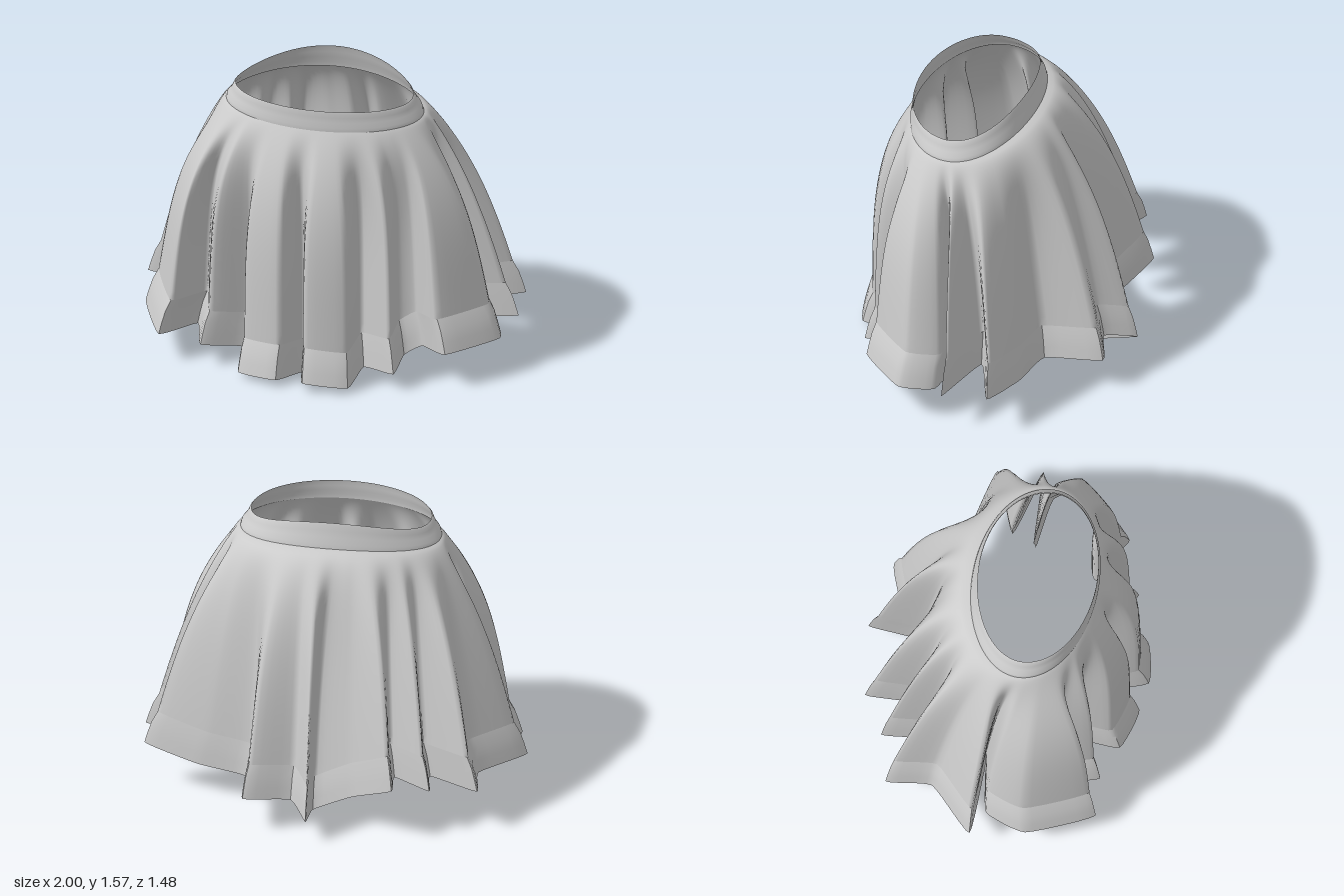
import * as THREE from 'three';
import { toCreasedNormals } from 'three/addons/utils/BufferGeometryUtils.js';

// Pleat corners along the hem [x, z, y], from centre front round by the left side
const HEM = [
  [-0.02, 0.51, 0.00], [0.05, 0.74, 0.05], [0.28, 0.69, 0.03], [0.30, 0.46, 0.05],
  [0.50, 0.60, 0.10], [0.50, 0.40, 0.12], [0.59, 0.37, 0.17], [0.75, 0.50, 0.20],
  [0.97, 0.25, 0.21], [0.90, 0.07, 0.19], [0.62, 0.03, 0.19], [1.00, 0.00, 0.23],
  [0.66, -0.10, 0.22], [0.97, -0.24, 0.25], [0.68, -0.32, 0.19], [0.42, -0.36, 0.16],
  [0.39, -0.67, 0.20], [0.15, -0.59, 0.17], [0.05, -0.74, 0.13], [0.05, -0.48, 0.06],
  [-0.16, -0.53, 0.18], [-0.39, -0.67, 0.31], [-0.37, -0.43, 0.26], [-0.57, -0.55, 0.26],
  [-0.54, -0.32, 0.22], [-0.81, -0.48, 0.24], [-0.78, -0.24, 0.22], [-1.00, 0.00, 0.22],
  [-0.63, 0.01, 0.20], [-0.86, 0.06, 0.19], [-0.93, 0.28, 0.19], [-0.76, 0.62, 0.17],
  [-0.62, 0.38, 0.14], [-0.54, 0.60, 0.13], [-0.34, 0.46, 0.08], [-0.32, 0.66, 0.03],
  [-0.10, 0.72, 0.04],
];
const PER = 6;
const N = HEM.length * PER;
const { lerp } = THREE.MathUtils;

// Dense hem line, plus a smoothed direction per column that ignores the folds
const curve = new THREE.CatmullRomCurve3(
  HEM.map(([x, z, y]) => new THREE.Vector3(x, y, z)), true, 'catmullrom', 0.22);
const hem = Array.from({ length: N }, (_, i) => curve.getPoint(i / N));
const around = hem.map((_, i) => {
  let x = 0, z = 0;
  for (let k = -10; k <= 10; k++) {
    const p = hem[(i + k + N) % N];
    const a = Math.atan2(p.x / 0.85, (p.z - 0.03) / 0.62);
    x += Math.sin(a);
    z += Math.cos(a);
  }
  const l = Math.hypot(x, z);
  return { s: x / l, c: z / l };
});

// Closed tube of rows running downwards; point(i, j) gives [x, y, z]
function tube(rows, point) {
  const pos = [], index = [];
  for (let j = 0; j <= rows; j++) {
    for (let i = 0; i < N; i++) {
      pos.push(...point(i, j));
      if (j === rows) continue;
      const a = j * N + i, b = j * N + (i + 1) % N;
      index.push(a, a + N, b, b, a + N, b + N);
    }
  }
  const g = new THREE.BufferGeometry();
  g.setAttribute('position', new THREE.Float32BufferAttribute(pos, 3));
  g.setIndex(index);
  g.computeVertexNormals();
  return g;
}

// Height of the waistband's lower and upper edges: both rise at the back
const lowerEdge = (c) => 1.38 + 0.06 * Math.max(0, -c) ** 2;
const upperEdge = (c) => 1.475 + 0.015 * Math.max(0, c) + 0.1 * Math.max(0, -c) ** 2.3;

const SEAM = 0.93; // hem outline scale where the flounce is sewn on
const seamY = (i) => hem[i].y + 0.18;

// Pleated body: an oval that widens downwards while folds form just below
// the waist and then hang; the front rounds out early and drops straight
function bodyPoint(i, j, rows) {
  const { s, c } = around[i];
  const t = (j / rows) ** 1.5;
  const settle = 1 - (1 - t) ** 4;
  const f = lerp(t ** lerp(0.65, 0.47, Math.max(0, -c)), settle, Math.max(0, c));
  const endX = lerp(0.83 * s, hem[i].x * SEAM, settle);
  const endZ = lerp(0.04 + 0.62 * c, hem[i].z * SEAM, settle);
  return [
    lerp(0.525 * s, endX, f),
    lerp(lowerEdge(c), seamY(i), t),
    lerp(0.152 + 0.327 * c, endZ, f),
  ];
}

// Waistband section from top to bottom: [height fraction, outward offset]
const BAND = [[1, 0], [0.9, 0.01], [0.7, 0.018], [0.45, 0.03], [0.2, 0.05], [0, 0.055]];
function bandPoint(i, j) {
  const { s, c } = around[i];
  const [h, o] = BAND[j];
  return [
    (0.47 + o) * s,
    lerp(lowerEdge(c), upperEdge(c), h),
    lerp(0.152, 0.165, h) + (0.305 + o * 0.4) * c,
  ];
}

// Flounce flaring from the seam to the hem
function flouncePoint(i, j, rows) {
  const t = j / rows;
  const k = lerp(SEAM, 1, t ** 0.7);
  return [hem[i].x * k, lerp(seamY(i), hem[i].y, t), hem[i].z * k];
}

export function createModel() {
  const group = new THREE.Group();
  group.name = 'skirt';
  const cloth = new THREE.MeshStandardMaterial({ color: 0xcccccc, side: THREE.DoubleSide });
  const add = (name, geometry) => {
    const mesh = new THREE.Mesh(geometry, cloth);
    mesh.name = name;
    group.add(mesh);
  };
  add('waistband', tube(BAND.length - 1, bandPoint));
  add('pleatedBody', tube(32, (i, j) => bodyPoint(i, j, 32)));
  add('hemFlounce', toCreasedNormals(tube(3, (i, j) => flouncePoint(i, j, 3)), 0.7));
  return group;
}
